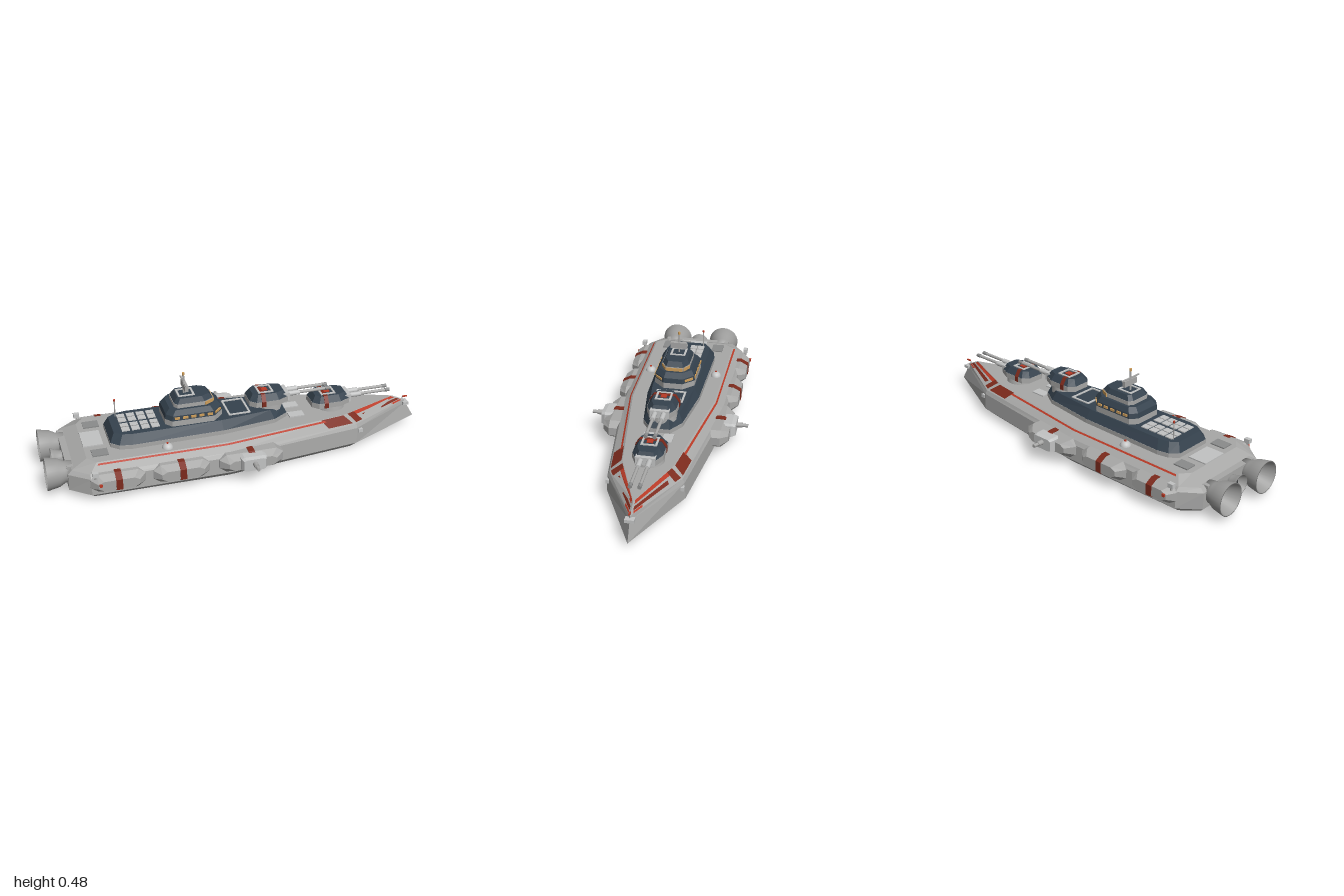
import * as THREE from 'three';

const paint = (name, color) => Object.assign(new THREE.MeshStandardMaterial({ color }), { name });

export function createModel() {
  const ship = new THREE.Group();
  ship.name = 'warship';
  const grey = paint('hull grey', 0xa8a8a7), pale = paint('pale grey', 0xc2c3c3);
  const mid = paint('mid grey', 0x8b8c8c), navy = paint('slate blue', 0x35424e);
  const maroon = paint('dark red', 0x7c2a1c), red = paint('signal red', 0xb83a26);
  const amber = paint('amber', 0xcf9f5c), black = paint('dark grey', 0x3a3c3e);
  const engineGrey = paint('engine grey', 0x9c9c9b);
  engineGrey.side = THREE.DoubleSide;

  const add = (name, geo, mat, parent = ship, x = 0, y = 0, z = 0) => {
    const m = new THREE.Mesh(geo, mat);
    m.name = name;
    m.position.set(x, y, z);
    parent.add(m);
    return m;
  };
  const box = (name, mat, x, y, z, w, h, d, parent = ship) =>
    add(name, new THREE.BoxGeometry(w, h, d), mat, parent, x, y, z);
  const rod = (name, mat, x0, x1, y, z, r, parent = ship) => {
    const g = new THREE.CylinderGeometry(r, r, x1 - x0, 14).rotateZ(Math.PI / 2);
    return add(name, g, mat, parent, (x0 + x1) / 2, y, z);
  };
  const post = (name, mat, x, y0, y1, z, r, parent = ship, r2 = r) =>
    add(name, new THREE.CylinderGeometry(r2, r, y1 - y0, 20), mat, parent, x, (y0 + y1) / 2, z);

  const facets = (pos) => {
    const g = new THREE.BufferGeometry();
    g.setAttribute('position', new THREE.Float32BufferAttribute(pos, 3));
    g.computeVertexNormals();
    return g;
  };
  // Mirrors a half outline [x, z], stern to bow, into a closed ring at height y
  const ring = (half, y, s = 1, sz = s) => {
    const c = (half[0][0] + half[half.length - 1][0]) / 2;
    const a = half.map(([x, z]) => [c + (x - c) * s, y, z * sz]);
    const b = a.filter((p) => p[2] > 1e-6).reverse().map(([x, h, z]) => [x, h, -z]);
    return [...a, ...b];
  };
  // Skins a stack of rings with flat faces and closes both ends
  const loft = (rings) => {
    const pos = [], tri = (...p) => p.forEach((v) => pos.push(...v));
    const n = rings[0].length, top = rings[rings.length - 1], low = rings[0];
    for (let k = 0; k + 1 < rings.length; k++) for (let i = 0; i < n; i++) {
      const j = (i + 1) % n, p = rings[k], q = rings[k + 1];
      tri(p[i], p[j], q[j]);
      tri(p[i], q[j], q[i]);
    }
    for (let i = 1; i + 1 < n; i++) {
      tri(top[0], top[i], top[i + 1]);
      tri(low[0], low[i + 1], low[i]);
    }
    return facets(pos);
  };
  const tier = (name, mat, half, y0, y1, s = 1, sz = s, parent = ship) =>
    add(name, loft([ring(half, y0), ring(half, y1, s, sz)]), mat, parent);
  const frame = (name, x, y, w, d, t = 0.01, parent = ship) => {
    for (const s of [-1, 1]) {
      box(name, pale, x + s * (w - t) / 2, y, 0, t, 0.006, d, parent);
      box(name, pale, x, y, s * (d - t) / 2, w, 0.006, t, parent);
    }
  };

  // Hull
  const rim = [[-0.88, 0.205], [-0.8, 0.268], [-0.1, 0.262], [0.6, 0.175], [0.94, 0]];
  const deck = [[-0.8, 0.17], [-0.76, 0.22], [-0.1, 0.215], [0.54, 0.125], [0.87, 0]];
  add('hull', loft([
    ring([[-0.86, 0.17], [-0.78, 0.24], [-0.1, 0.238], [0.58, 0.15], [0.9, 0]], 0),
    ring([[-0.9, 0.21], [-0.8, 0.29], [-0.1, 0.28], [0.6, 0.19], [1, 0]], 0.04),
    ring([[-0.9, 0.21], [-0.8, 0.285], [-0.1, 0.275], [0.6, 0.185], [0.95, 0]], 0.125),
    ring(rim, 0.145), ring(deck, 0.178)]), grey);
  box('sternDeckPanel', pale, -0.75, 0.18, 0, 0.1, 0.008, 0.14);
  box('sternBlock', grey, -0.85, 0.1, 0, 0.1, 0.1, 0.36);

  // Painted stripes laid on the sloping deck edge
  const onSlope = (i, u, v, side) => {
    const mix = (a, b, t) => a + (b - a) * t;
    const at = (l, k) => mix(l[i][k], l[i + 1][k], u);
    return new THREE.Vector3(mix(at(rim, 0), at(deck, 0), v), mix(0.145, 0.178, v),
      side * mix(at(rim, 1), at(deck, 1), v));
  };
  const stripe = (name, mat, i, u0, u1, v0, v1, skew = 0) => {
    for (const s of [1, -1]) {
      const c = [[u0, v0], [u1, v0], [u1 + skew, v1], [u0 + skew, v1]].map(([u, v]) => onSlope(i, u, v, s));
      if (s < 0) c.reverse();
      const n = c[1].clone().sub(c[0]).cross(c[2].clone().sub(c[0])).normalize().multiplyScalar(0.003);
      c.forEach((p) => p.add(n));
      add(name, facets([0, 1, 2, 0, 2, 3].flatMap((k) => c[k].toArray())), mat);
    }
  };
  stripe('sideStripe', red, 1, 0.02, 1, 0.68, 0.85);
  stripe('sideStripe', red, 2, 0, 0.82, 0.68, 0.85);
  stripe('bowFlash', maroon, 2, 0.78, 0.98, 0.1, 0.95, 0.02);
  stripe('bowFlash', maroon, 3, 0.02, 0.14, 0.1, 0.95, 0.06);
  stripe('bowBand', red, 3, 0.16, 0.96, 0.68, 0.97);
  stripe('bowBand', maroon, 3, 0.25, 0.96, 0.25, 0.52);
  stripe('bowBand', red, 3, 0.78, 0.95, 0.03, 0.2);

  // Bow fittings
  box('bowSensor', pale, 0.945, 0.128, 0, 0.03, 0.016, 0.045);
  post('bowPost', grey, 0.93, 0.13, 0.16, 0, 0.003);
  box('bowLight', red, 0.945, 0.163, 0, 0.025, 0.006, 0.008);
  for (const s of [-1, 1]) {
    box('anchor', pale, 0.62, 0.107, s * 0.178, 0.025, 0.018, 0.018);
    box('bowHatch', pale, 0.31, 0.18, s * 0.05, 0.08, 0.008, 0.05);
    box('sternVent', mid, -0.73, 0.18, s * 0.14, 0.08, 0.008, 0.06);
    add('sensorDome', new THREE.SphereGeometry(0.028, 20, 8, 0, Math.PI * 2, 0, Math.PI / 2), pale, ship, -0.4, 0.174, s * 0.18);
    post('domeLight', red, -0.4, 0.198, 0.205, s * 0.18, 0.006);
    post('sternLampPost', grey, -0.78, 0.13, 0.148, s * 0.295, 0.005);
    box('sternLamp', pale, -0.78, 0.157, s * 0.295, 0.03, 0.022, 0.022);
    box('navigationLight', red, -0.76, 0.11, s * 0.325, 0.014, 0.014, 0.012);
  }

  // Deckhouse
  const house = [[-0.67, 0.1], [-0.63, 0.135], [-0.57, 0.147], [-0.1, 0.138], [0.18, 0.1], [0.26, 0.05]];
  tier('deckhouseBase', grey, house, 0.175, 0.2);
  tier('deckhouse', navy, house, 0.198, 0.245, 0.95, 0.8);
  for (let i = 0; i < 4; i++) for (const s of [-1, 1]) {
    box('roofPanel', pale, -0.585 + i * 0.05, 0.246, s * 0.047, 0.04, 0.008, 0.075);
    box('roofPanelRib', mid, -0.585 + i * 0.05, 0.248, s * 0.047, 0.04, 0.006, 0.004);
  }
  frame('roofHatch', 0, 0.247, 0.115, 0.155);
  post('aerial', grey, -0.61, 0.22, 0.335, -0.076, 0.003);
  post('aerialTip', red, -0.61, 0.333, 0.342, -0.076, 0.005);

  // Bridge tower
  const lower = [[-0.385, 0.07], [-0.355, 0.105], [-0.14, 0.105], [-0.085, 0.05]];
  const upper = [[-0.335, 0.05], [-0.32, 0.072], [-0.18, 0.072], [-0.13, 0.045]];
  tier('towerBase', grey, lower, 0.24, 0.275);
  tier('towerWall', navy, lower, 0.275, 0.3, 0.97);
  tier('towerRoof', navy, ring(lower, 0, 0.97).slice(0, 4).map(([x, , z]) => [x, z]), 0.3, 0.325, 0.85);
  tier('bridgeWall', grey, upper, 0.32, 0.345);
  tier('bridgeRoof', navy, upper, 0.342, 0.37, 0.8);
  box('bridgeWindow', amber, -0.13, 0.333, 0, 0.008, 0.018, 0.088);
  for (const s of [-1, 1]) {
    for (let i = 0; i < 5; i++) box('towerWindow', amber, -0.33 + i * 0.042, 0.288, s * 0.104, 0.026, 0.012, 0.008);
    const w = box('bridgeSideWindow', amber, -0.156, 0.333, s * 0.0595, 0.052, 0.018, 0.006);
    w.rotation.y = s * 0.49;
    const f = box('towerFrontWindow', amber, -0.116, 0.288, s * 0.078, 0.05, 0.012, 0.008);
    f.rotation.y = s * 0.785;
  }
  frame('towerHatch', -0.265, 0.371, 0.085, 0.08);

  // Mast and radar
  post('mast', grey, -0.27, 0.365, 0.47, 0, 0.005);
  box('radar', grey, -0.265, 0.41, 0, 0.018, 0.031, 0.087);
  box('yard', grey, -0.27, 0.433, 0, 0.008, 0.005, 0.125);
  post('mastLight', amber, -0.27, 0.47, 0.483, 0, 0.006);

  // Twin-gun turrets
  const shell = [[-0.105, 0.045], [-0.075, 0.075], [0.045, 0.075], [0.1, 0.048]];
  const wide = [[-0.011, 0.077], [0.011, 0.077]];
  const turret = (x, y, foot) => {
    const g = new THREE.Group();
    g.name = 'gunTurret';
    g.position.set(x, y, 0);
    ship.add(g);
    post('barbette', grey, 0.01, foot - y, 0.002, 0, 0.078, g, 0.07);
    tier('turretBase', grey, shell, 0, 0.028, 1, 1, g);
    tier('turretRoof', navy, shell, 0.026, 0.06, 0.8, 0.7, g);
    const band = loft([ring(wide, 0), ring(wide, 0.028), ring(wide, 0.062, 1, 0.71)]);
    add('turretBand', band, maroon, g, -0.035);
    frame('turretHatch', -0.015, 0.062, 0.08, 0.08, 0.01, g);
    box('turretHatchLid', red, -0.015, 0.062, 0, 0.03, 0.005, 0.03, g);
    box('mantlet', pale, 0.085, 0.024, 0, 0.05, 0.04, 0.096, g);
    for (const s of [-1, 1]) {
      rod('gunSleeve', pale, 0.1, 0.17, 0.028, s * 0.022, 0.013, g);
      rod('gunBarrel', grey, 0.16, 0.33, 0.028, s * 0.022, 0.008, g);
      rod('gunMuzzle', mid, 0.31, 0.335, 0.028, s * 0.022, 0.0095, g);
    }
  };
  turret(0.165, 0.265, 0.18);
  turret(0.505, 0.204, 0.165);

  // Side pods, three along each side, the foremost carrying a gun
  const podRings = (half, grow) => [ring(half, 0.2), ring(half, 0.285), ring(half, 0.323 + grow, grow ? 1 : 0.74, 0.56)];
  for (const s of [1, -1]) {
    const side = new THREE.Group();
    side.name = s > 0 ? 'leftPods' : 'rightPods';
    ship.add(side);
    for (const [x, l] of [[-0.67, 0.135], [-0.355, 0.142], [0, 0.165]]) {
      const pod = new THREE.Group();
      pod.name = 'sidePod';
      pod.position.set(x, 0.1, 0);
      pod.rotation.y = s > 0 ? 0 : Math.PI;
      side.add(pod);
      const shape = [[-l, 0.022], [-l + 0.035, 0.047], [l - 0.035, 0.047], [l, 0.022]];
      add('podShell', loft(podRings(shape, 0)).rotateX(Math.PI / 2), grey, pod);
      const strap = [[-0.016, 0.05], [0.016, 0.05]];
      add('podBand', loft(podRings(strap, 0.003)).rotateX(Math.PI / 2), maroon, pod);
    }
    const mount = [[-0.065, 0.03], [-0.05, 0.037], [0.05, 0.037], [0.065, 0.03]];
    const m = add('gunMount', loft([ring(mount, 0.27), ring(mount, 0.33), ring(mount, 0.35, 0.85)]).rotateX(Math.PI / 2), pale, side, 0, 0.108);
    if (s < 0) m.rotation.y = Math.PI;
    for (const [r, z0, z1] of [[0.013, 0.34, 0.38], [0.009, 0.37, 0.408]]) {
      const g = new THREE.CylinderGeometry(r, r, z1 - z0, 14).rotateX(Math.PI / 2);
      add('sideGun', g, grey, side, 0, 0.115, s * (z0 + z1) / 2);
    }
  }

  // Engine bells
  const bell = (z, r, end) => {
    const profile = [[0.0, -0.86], [0.62, -0.87], [0.66, -0.91], [0.86, -0.94], [1, end], [0.93, end], [0.5, -0.915], [0, -0.91]];
    const g = new THREE.LatheGeometry(profile.map(([k, x]) => new THREE.Vector2(k * r, -x)), 28).rotateZ(Math.PI / 2);
    add('engineBell', g, engineGrey, ship, 0, 0.102, z);
    rod('engineCore', black, -0.925, -0.9, 0.102, z, r * 0.4);
  };
  bell(0.138, 0.083, -1);
  bell(-0.138, 0.083, -1);
  bell(0, 0.052, -0.955);

  return ship;
}
